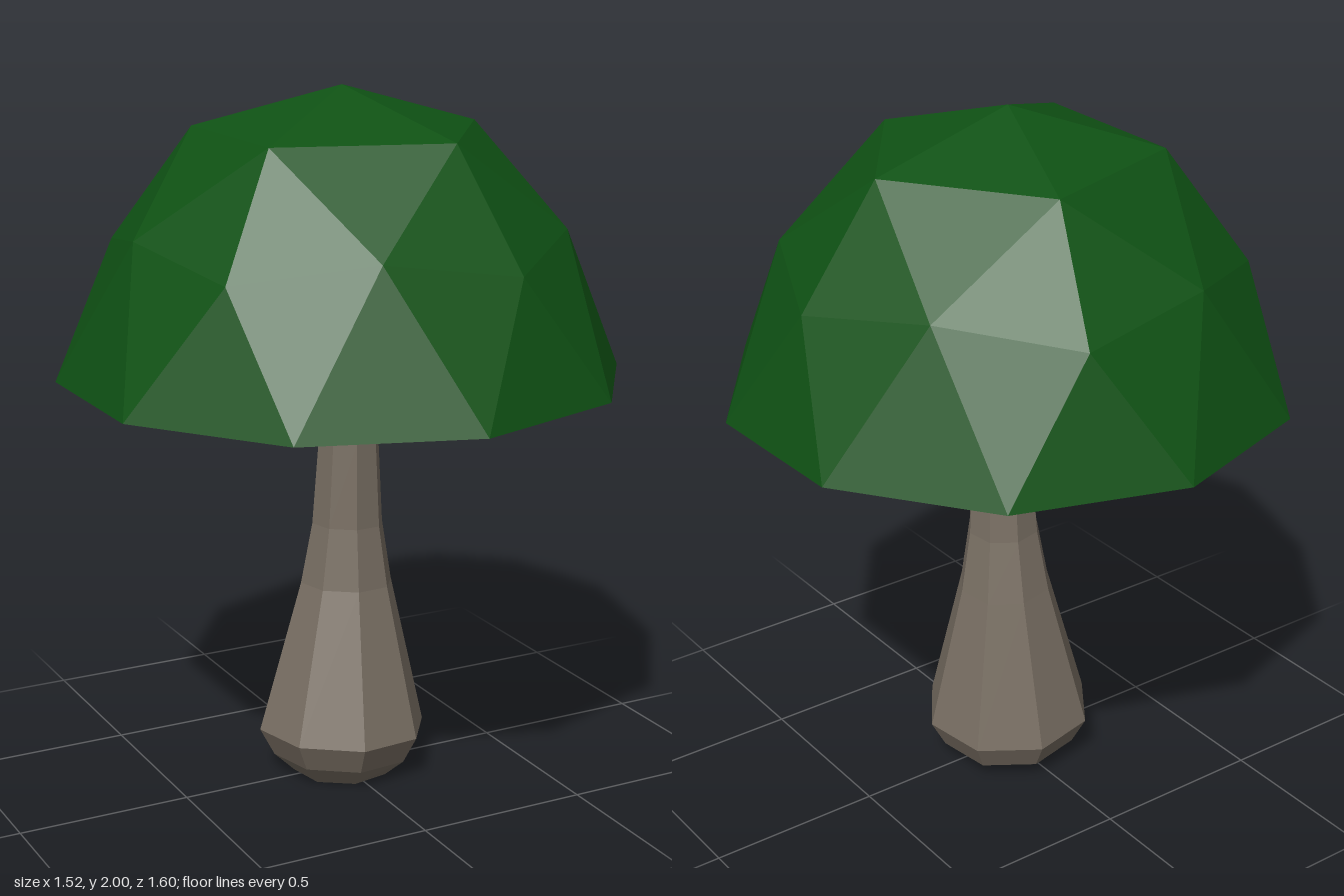
import * as THREE from 'three';

const rad = THREE.MathUtils.degToRad;
const green = new THREE.MeshStandardMaterial({ color: 0x0f5214, flatShading: true });
const brown = new THREE.MeshStandardMaterial({ color: 0x7a7064, flatShading: true });

// Mesh from a list of triangles, each three Vector3 corners
function facetMesh(name, triangles, material) {
  const geometry = new THREE.BufferGeometry().setFromPoints(triangles.flat());
  geometry.computeVertexNormals();
  const mesh = new THREE.Mesh(geometry, material);
  mesh.name = name;
  return mesh;
}

// Skin over a stack of rings; a zero radius at the start or end closes it
function loft(rings, sides, point) {
  const triangles = [];
  for (let i = 0; i < rings.length - 1; i++) {
    for (let j = 0; j < sides; j++) {
      const a = point(rings[i], j), b = point(rings[i], (j + 1) % sides);
      const c = point(rings[i + 1], (j + 1) % sides), d = point(rings[i + 1], j);
      if (rings[i].r > 0) triangles.push([a, b, c]);
      if (rings[i + 1].r > 0) triangles.push([a.clone(), c.clone(), d]);
    }
  }
  return triangles;
}

// Rim corner at an angle; one corner sags slightly
function rimPoint(deg) {
  const t = rad(deg);
  const x = 0.8 * Math.cos(t), z = -0.8 * Math.sin(t);
  return new THREE.Vector3(x, x > 0.7 && z > 0.2 ? 1.188 : 1.2, z);
}

// Faceted dome: half of a once-divided icosahedron
function createCap() {
  const at = (r, y, deg) => new THREE.Vector3(r * Math.cos(rad(deg)), y, -r * Math.sin(rad(deg)));
  const top = new THREE.Vector3(0, 2, 0);
  const triangles = [];
  for (let k = 0; k < 5; k++) {
    const s = 72 * k;
    const a = at(0.42, 1.88, s), a2 = at(0.42, 1.88, s + 72);
    const u = at(0.655, 1.56, s), u2 = at(0.655, 1.56, s + 72);
    const m = at(0.62, 1.62, s + 36);
    const e0 = rimPoint(s - 18), e1 = rimPoint(s + 18), e2 = rimPoint(s + 54);
    triangles.push(
      [top, a, a2],
      [a, u, m], [a, m, a2], [a2, m, u2],
      [u, e0, e1], [u, e1, m], [m, e1, e2], [m, e2, u2]
    );
  }
  return facetMesh('cap', triangles, green);
}

// Shallow hollow below the cap
function createUnderside() {
  const rings = [{ r: 0, y: 1.3 }, { r: 0.34, y: 1.29 }, { r: 0.66, y: 1.265 }, { r: 0.8, y: 1.2 }];
  const point = ({ r, y }, j) => {
    const deg = 36 * j - 90;
    if (r === 0.8) return rimPoint(deg);
    return new THREE.Vector3(r * Math.cos(rad(deg)), y, -r * Math.sin(rad(deg)));
  };
  return facetMesh('underside', loft(rings, 10, point), brown);
}

// Eight-sided stem, bulbous at the foot and slightly crooked
function createStem() {
  const rings = [
    [0, 0, 0, 0], [0.145, 0, 0, 0], [0.205, 0.05, 0, 0], [0.247, 0.13, 0, 0],
    [0.135, 0.57, 0.02, -0.012], [0.104, 0.75, 0.02, -0.005], [0.088, 1.0, 0.02, 0.003],
    [0.081, 1.07, 0.012, -0.002], [0.085, 1.2, 0.018, 0], [0.085, 1.33, 0.02, 0], [0, 1.33, 0.02, 0],
  ].map(([r, y, x, z]) => ({ r, y, x, z }));
  const point = ({ r, y, x, z }, j) => {
    const t = rad(45 * j - 12);
    const dx = r * Math.sin(t), dz = r * Math.cos(t);
    const tilt = y > 0 ? 0.045 * (dz - dx) : 0;
    return new THREE.Vector3(x + dx, y + tilt, z + dz);
  };
  return facetMesh('stem', loft(rings, 8, point), brown);
}

export function createModel() {
  const model = new THREE.Group();
  model.name = 'mushroom';
  model.add(createCap(), createUnderside(), createStem());
  return model;
}
